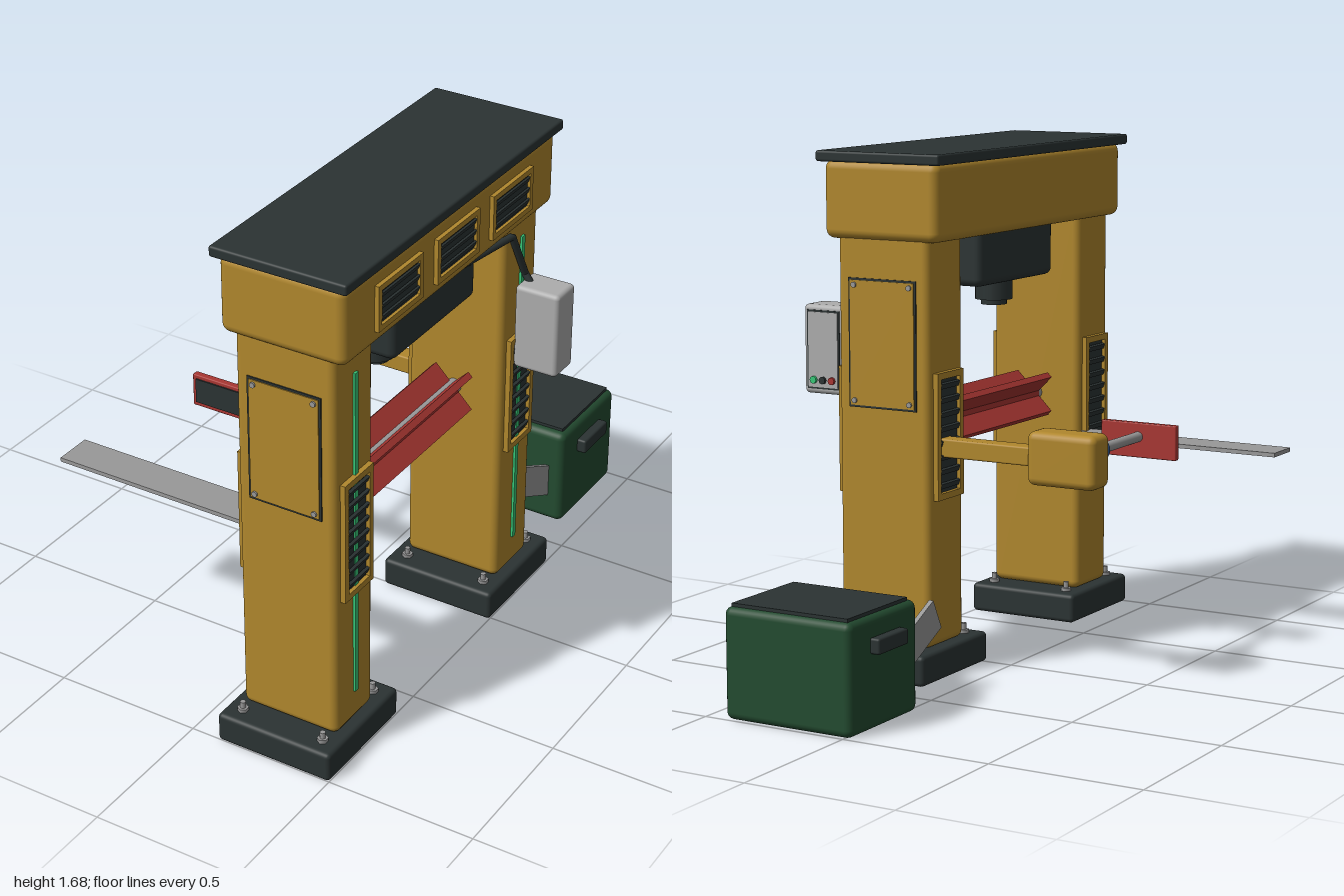
import * as THREE from 'three';
import { RoundedBoxGeometry } from 'three/addons/geometries/RoundedBoxGeometry.js';

const paint = (name, color) => {
  const m = new THREE.MeshStandardMaterial({ color });
  m.name = name;
  return m;
};

export function createModel() {
  const gold = paint('ochre paint', 0xb0872d);
  const dark = paint('charcoal', 0x2b3333);
  const green = paint('bin green', 0x234b30);
  const glow = paint('light strip green', 0x38c878);
  const red = paint('red', 0xa83632);
  const steel = paint('steel grey', 0x999999);
  const pale = paint('pale grey', 0xadadad);
  const blue = paint('blue', 0x35588f);

  const root = new THREE.Group();
  root.name = 'inspectionGantry';

  const add = (name, geo, mat, parent = root) => {
    const m = new THREE.Mesh(geo, mat);
    m.name = name;
    parent.add(m);
    return m;
  };
  // box from its limits, with optional rounded edges
  const box = (name, mat, [x0, x1], [y0, y1], [z0, z1], r = 0, parent = root) => {
    const s = [x1 - x0, y1 - y0, z1 - z0];
    const geo = r ? new RoundedBoxGeometry(...s, 3, r) : new THREE.BoxGeometry(...s);
    const m = add(name, geo, mat, parent);
    m.position.set((x0 + x1) / 2, (y0 + y1) / 2, (z0 + z1) / 2);
    return m;
  };
  // cylinder between two points
  const rod = (name, mat, a, b, r, parent = root, sides = 24) => {
    const p = new THREE.Vector3(...a), q = new THREE.Vector3(...b);
    const d = q.clone().sub(p);
    const m = add(name, new THREE.CylinderGeometry(r, r, d.length(), sides), mat, parent);
    m.position.copy(p).add(q).multiplyScalar(0.5);
    m.quaternion.setFromUnitVectors(new THREE.Vector3(0, 1, 0), d.normalize());
    return m;
  };
  const group = (name, x, y, z, ry = 0) => {
    const g = new THREE.Group();
    g.name = name;
    g.position.set(x, y, z);
    g.rotation.y = ry;
    root.add(g);
    return g;
  };

  // louvred vent facing local +z
  const vent = (name, pos, ry, w, h, border, depth, slats) => {
    const g = group(name, ...pos, ry);
    const shape = new THREE.Shape([[-w, -h], [w, -h], [w, h], [-w, h]].map(([x, y]) => new THREE.Vector2(x / 2, y / 2)));
    const iw = w / 2 - border, ih = h / 2 - border;
    shape.holes.push(new THREE.Path([[-iw, -ih], [-iw, ih], [iw, ih], [iw, -ih]].map(([x, y]) => new THREE.Vector2(x, y))));
    add('ventFrame', new THREE.ExtrudeGeometry(shape, { depth, bevelEnabled: false }), gold, g);
    box('ventPanel', dark, [-iw, iw], [-ih, ih], [0, 0.004], 0, g);
    const step = 2 * ih / slats;
    for (let i = 0; i < slats; i++) {
      const y = -ih + step * (i + 0.5);
      box('ventSlat', dark, [-iw, iw], [y - 0.009, y + 0.009], [0.004, depth - 0.003], 0, g).rotation.x = 0.35;
    }
  };

  // screwed access panel facing local +z
  const accessPanel = (z, ry) => {
    const g = group('accessPanel', 0.3, 1.075, z, ry);
    box('panelEdge', dark, [-0.126, 0.126], [-0.208, 0.208], [-0.002, 0.004], 0, g);
    box('panelPlate', gold, [-0.119, 0.119], [-0.201, 0.201], [0, 0.007], 0, g);
    for (const x of [-0.103, 0.103]) for (const y of [-0.186, 0.186])
      rod('panelScrew', steel, [x, y, 0], [x, y, 0.013], 0.009, g, 12);
  };

  // feet, bolts, columns with vents and light strips
  for (const z of [0.802, -0.188]) {
    box('footBlock', dark, [0.097, 0.503], [0, 0.1], [z - 0.203, z + 0.203], 0.015);
    for (const dx of [-0.145, 0.145]) for (const dz of [-0.145, 0.145]) {
      rod('boltWasher', steel, [0.3 + dx, 0.098, z + dz], [0.3 + dx, 0.112, z + dz], 0.018, root, 6);
      rod('anchorBolt', steel, [0.3 + dx, 0.1, z + dz], [0.3 + dx, 0.133, z + dz], 0.009, root, 12);
    }
    box('column', gold, [0.13, 0.47], [0.1, 1.43], [z - 0.107, z + 0.107], 0.025);
    box('lightStrip', glow, [0.468, 0.478], [0.21, 1.33], [z - 0.009, z + 0.009]);
    vent('columnVent', [0.47, 0.785, z], Math.PI / 2, 0.158, 0.41, 0.021, 0.017, 8);
    vent('columnVent', [0.13, 0.785, z], -Math.PI / 2, 0.158, 0.41, 0.021, 0.017, 8);
  }
  accessPanel(0.909, 0);
  accessPanel(-0.295, Math.PI);

  // top beam and roof
  box('topBeam', gold, [0.088, 0.512], [1.405, 1.657], [-0.312, 0.922], 0.03);
  box('roofPlate', dark, [0.07, 0.528], [1.65, 1.685], [-0.33, 0.938], 0.008);
  for (const z of [0.638, 0.308, -0.021])
    vent('beamVent', [0.512, 1.527, z], Math.PI / 2, 0.247, 0.147, 0.018, 0.014, 3);

  // overhead sensor and its lens
  box('sensorHousing', dark, [0.15, 0.45], [1.228, 1.43], [0.063, 0.55], 0.025);
  rod('lensBarrel', dark, [0.3, 1.24, 0.405], [0.3, 1.15, 0.405], 0.064);
  rod('lensTip', dark, [0.3, 1.16, 0.405], [0.3, 1.132, 0.405], 0.044);

  // cable arm from sensor to control box
  const cable = new THREE.CurvePath();
  const pts = [[0.44, 1.362, 0.14], [0.478, 1.362, -0.11], [0.485, 1.2, -0.19], [0.52, 1.15, -0.19]].map(p => new THREE.Vector3(...p));
  for (let i = 0; i < 3; i++) cable.add(new THREE.LineCurve3(pts[i], pts[i + 1]));
  add('cable', new THREE.TubeGeometry(cable, 60, 0.012, 12), dark);

  // control box with its rear face plate and buttons
  box('controlBox', pale, [0.48, 0.635], [0.888, 1.18], [-0.247, -0.133], 0.015);
  box('controlPlateEdge', dark, [0.495, 0.62], [0.905, 1.163], [-0.25, -0.245]);
  box('controlPlate', pale, [0.501, 0.614], [0.911, 1.157], [-0.253, -0.246]);
  [[0.522, red], [0.557, dark], [0.592, glow]].forEach(([x, mat]) =>
    rod('controlButton', mat, [x, 0.935, -0.25], [x, 0.935, -0.262], 0.012, root, 16));

  // crossbar with an X-shaped section on a steel shaft
  const bar = group('crossbar', 0.3, 0.79, 0.305);
  for (const a of [Math.PI / 4, -Math.PI / 4])
    add('crossbarFin', new THREE.BoxGeometry(0.19, 0.022, 0.74), red, bar).rotation.z = a;
  add('crossbarCore', new THREE.BoxGeometry(0.05, 0.03, 0.74), red, bar);
  rod('crossbarShaft', steel, [0.3, 0.79, -0.09], [0.3, 0.79, 0.7], 0.025);

  // side arm, motor head, piston and pusher
  box('sideArm', gold, [-0.22, 0.14], [0.717, 0.777], [-0.232, -0.17], 0.006);
  box('armHead', gold, [-0.44, -0.198], [0.66, 0.832], [-0.255, -0.143], 0.025);
  rod('pistonSleeve', blue, [-0.318, 0.745, -0.15], [-0.318, 0.745, 0.014], 0.037);
  rod('pistonRod', steel, [-0.318, 0.745, 0], [-0.318, 0.745, 0.285], 0.017);
  box('pusherPlate', red, [-0.455, -0.182], [0.676, 0.791], [0.278, 0.302], 0.004);
  box('pusherPad', dark, [-0.441, -0.196], [0.692, 0.778], [0.3, 0.307]);

  // outfeed shelf
  box('outfeedShelf', steel, [-0.64, 0.14], [0.648, 0.662], [0.645, 0.773]);

  // reject bin with lid and handles
  box('binBody', green, [-0.028, 0.43], [0, 0.352], [-1, -0.62], 0.025);
  box('binLid', dark, [-0.008, 0.41], [0.345, 0.362], [-0.98, -0.65]);
  for (const x of [-0.043, 0.445])
    box('binHandle', dark, [x - 0.018, x + 0.018], [0.238, 0.288], [-0.89, -0.725], 0.008);

  // chute sloping down into the bin
  const chute = group('chute', 0.2, 0.21, -0.4);
  chute.rotation.x = -0.464;
  box('chuteFloor', pale, [-0.176, 0.176], [0, 0.02], [-0.255, 0], 0, chute);
  for (const x of [-0.17, 0.17])
    box('chuteRail', steel, [x - 0.008, x + 0.008], [0, 0.107], [-0.255, 0], 0, chute);

  return root;
}
